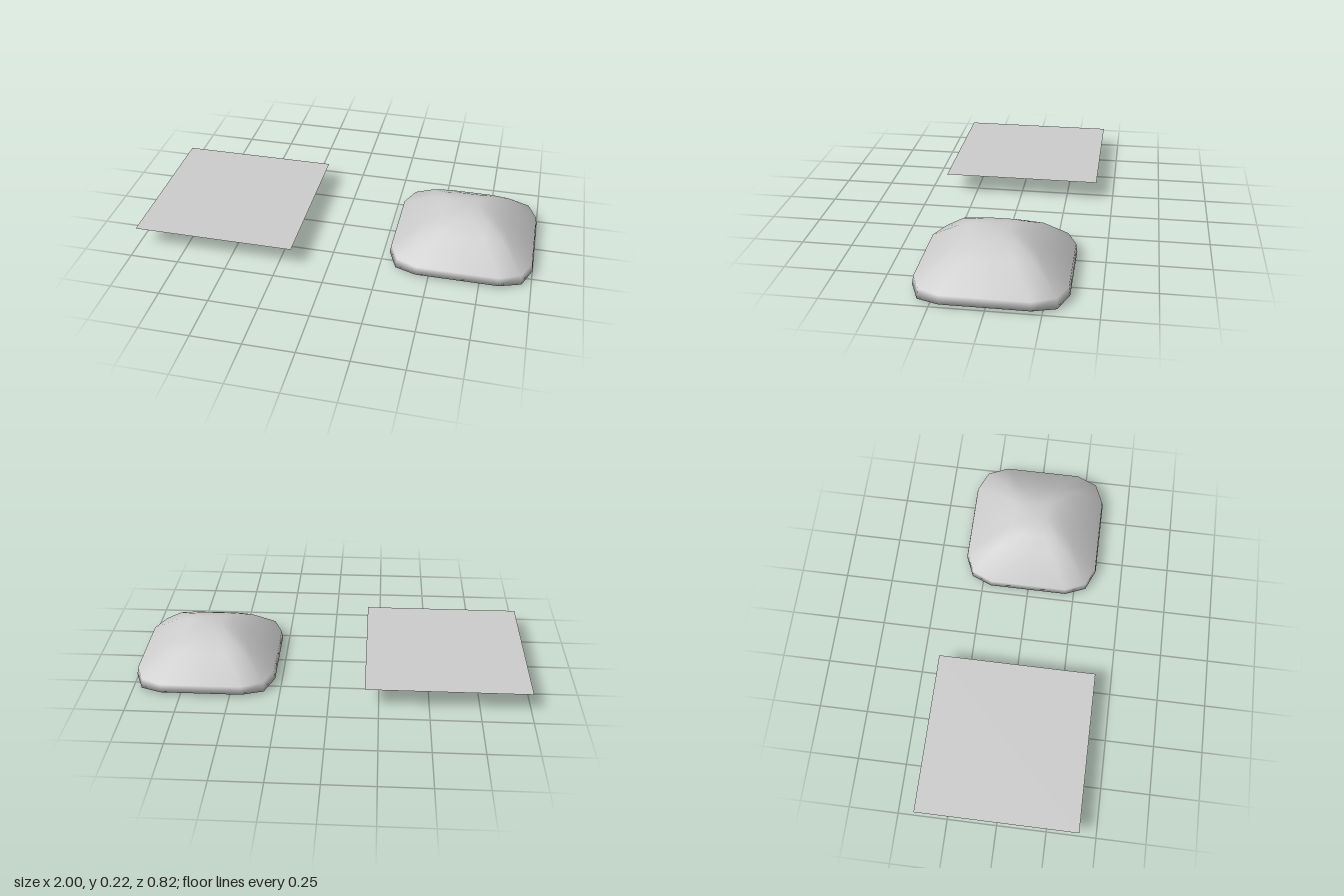
import * as THREE from 'three';

// Rounded-square rings: half width, height, corner ratio, flat ratio, corner height offset
const RINGS = [
  [0.01, 0, 0.9, 0.55, 0],
  [0.21, 0, 0.95, 0.55, 0],
  [0.358, 0.016, 0.87, 0.57, -0.008],
  [0.352, 0.058, 0.87, 0.57, 0],
  [0.2, 0.168, 0.97, 0.55, -0.004],
  [0.12, 0.212, 0.94, 0.5, -0.005],
  [0.06, 0.225, 0.9, 0.5, -0.001],
];
const SIDES = 16;

function ringPoints([w, y, corner, flat, drop]) {
  const points = [];
  const quarter = [[w, 0, y], [w, flat * w, y], [corner * w, corner * w, y + drop], [flat * w, w, y]];
  for (let q = 0; q < 4; q++) {
    for (const [px, pz, py] of quarter) {
      let x = px, z = pz;
      for (let k = 0; k < q; k++) [x, z] = [-z, x];
      points.push(x, py, z);
    }
  }
  return points;
}

// Skin the rings and close both ends with a fan
function cushionGeometry() {
  const positions = RINGS.flatMap(ringPoints);
  const index = [];
  for (let r = 0; r < RINGS.length - 1; r++) {
    for (let i = 0; i < SIDES; i++) {
      const a = r * SIDES + i, b = r * SIDES + (i + 1) % SIDES;
      index.push(a, a + SIDES, b, b, a + SIDES, b + SIDES);
    }
  }
  const bottom = positions.length / 3, top = bottom + 1;
  positions.push(0, 0, 0, 0, RINGS.at(-1)[1], 0);
  const last = (RINGS.length - 1) * SIDES;
  for (let i = 0; i < SIDES; i++) {
    const j = (i + 1) % SIDES;
    index.push(bottom, i, j, top, last + j, last + i);
  }
  const geometry = new THREE.BufferGeometry();
  geometry.setAttribute('position', new THREE.Float32BufferAttribute(positions, 3));
  geometry.setIndex(index);
  geometry.computeVertexNormals();
  return geometry;
}

export function createModel() {
  const group = new THREE.Group();
  const grey = new THREE.MeshStandardMaterial({ color: 0xcccccc, side: THREE.DoubleSide });
  grey.name = 'light grey';

  // Domed cushion with a thin rim
  const cushion = new THREE.Mesh(cushionGeometry(), grey);
  cushion.name = 'cushion';
  cushion.position.x = 0.642;
  group.add(cushion);

  // Flat square sheet floating beside it
  const sheet = new THREE.Mesh(new THREE.PlaneGeometry(0.82, 0.82).rotateX(-Math.PI / 2), grey);
  sheet.name = 'sheet';
  sheet.position.set(-0.59, 0.105, 0);
  group.add(sheet);

  return group;
}
